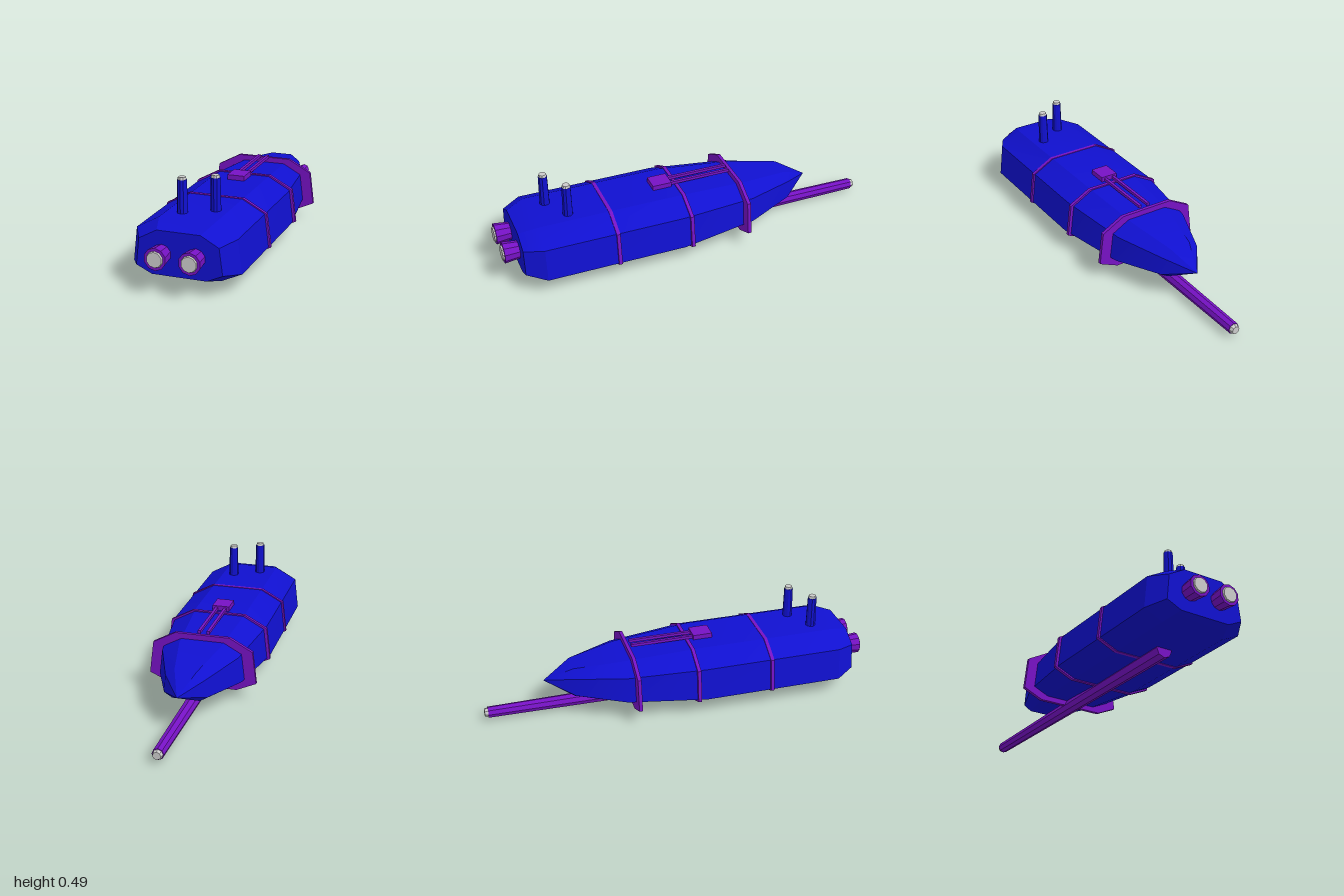
import * as THREE from 'three';
import { toCreasedNormals } from 'three/addons/utils/BufferGeometryUtils.js';

const paint = (color) => new THREE.MeshStandardMaterial({ color, flatShading: true });

// Octagonal hull outline around the hull axis, counter-clockwise seen from the front
const HALF = [[0.17, -0.135], [0.268, -0.09], [0.248, 0.075], [0.135, 0.137]];
const OUTLINE = [...HALF, ...HALF.slice().reverse().map(([x, y]) => [-x, y])];
const AXIS_Y = 0.185;

// Loft of the scaled outline: each section is [z, x scale, y scale]
function loft(sections) {
  const pos = [];
  const point = ([z, sx, sy], j) => {
    const [x, y] = OUTLINE[j % OUTLINE.length];
    return new THREE.Vector3(x * sx, AXIS_Y + y * sy, z);
  };
  const tri = (...p) => {
    if (new THREE.Triangle(...p).getArea() > 1e-8) p.forEach((v) => pos.push(v.x, v.y, v.z));
  };
  for (let i = 0; i < sections.length - 1; i++) {
    for (let j = 0; j < OUTLINE.length; j++) {
      const a = point(sections[i], j), b = point(sections[i], j + 1);
      const d = point(sections[i + 1], j), c = point(sections[i + 1], j + 1);
      tri(a, d, c);
      tri(a, c, b);
    }
  }
  const g = new THREE.BufferGeometry();
  g.setAttribute('position', new THREE.Float32BufferAttribute(pos, 3));
  return toCreasedNormals(g, 0.4);
}

export function createModel() {
  const group = new THREE.Group();
  const blue = paint(0x1010d0), purple = paint(0x7612c4), grey = paint(0xcccccc);

  function add(name, geometry, material, x = 0, y = 0, z = 0) {
    const mesh = new THREE.Mesh(geometry, material);
    mesh.name = name;
    mesh.position.set(x, y, z);
    group.add(mesh);
    return mesh;
  }
  // Tapered tube along z from zBack to zFront
  const tubeZ = (name, rFront, rBack, zFront, zBack, sides, material, x, y) => {
    const g = new THREE.CylinderGeometry(rFront, rBack, zFront - zBack, sides).rotateX(Math.PI / 2);
    return add(name, g, material, x, y, (zFront + zBack) / 2);
  };

  // Hull with bevelled front and pointed tail
  const hullPaint = new THREE.MeshStandardMaterial({ color: 0x1010d0 });
  add('hull', loft([
    [0.915, 0, 0], [0.915, 0.785, 0.79], [0.82, 1, 1], [0.1, 1, 1],
    [-0.3, 0.79, 0.79], [-0.545, 0.41, 0.56], [-0.69, 0, 0],
  ]), hullPaint);

  // Flat bands around the hull, all of one size
  for (const z of [0.45, 0.06, -0.25]) {
    add('hullBand', loft([
      [z + 0.009, 0, 0], [z + 0.009, 1.035, 1.02], [z - 0.009, 1.035, 1.02], [z - 0.009, 0, 0],
    ]), purple);
  }

  // Twin nozzles on the front
  for (const x of [-0.083, 0.083]) {
    tubeZ('nozzle', 0.054, 0.044, 0.992, 0.9, 10, purple, x, 0.183);
    tubeZ('nozzleCap', 0.037, 0.043, 1, 0.985, 10, grey, x, 0.183);
  }

  // Staggered stacks on the deck
  for (const [x, z] of [[-0.058, 0.73], [0.075, 0.65]]) {
    add('stack', new THREE.CylinderGeometry(0.023, 0.026, 0.182, 10), blue, x, 0.391, z);
    add('stackCap', new THREE.CylinderGeometry(0.018, 0.022, 0.014, 10), grey, x, 0.487, z);
  }

  // Long barrel under the hull
  tubeZ('barrel', 0.043, 0.029, 0.6, -0.982, 8, purple, 0, 0.045);
  tubeZ('barrelTip', 0.026, 0.02, -0.98, -1, 8, grey, 0, 0.045);

  // Deck box with two rails running back
  add('deckBox', new THREE.BoxGeometry(0.09, 0.032, 0.1), purple, 0, 0.331, 0.14);
  for (const x of [-0.023, 0.023]) {
    add('deckRail', new THREE.BoxGeometry(0.015, 0.015, 0.33), purple, x, 0.331, -0.07);
  }
  return group;
}
